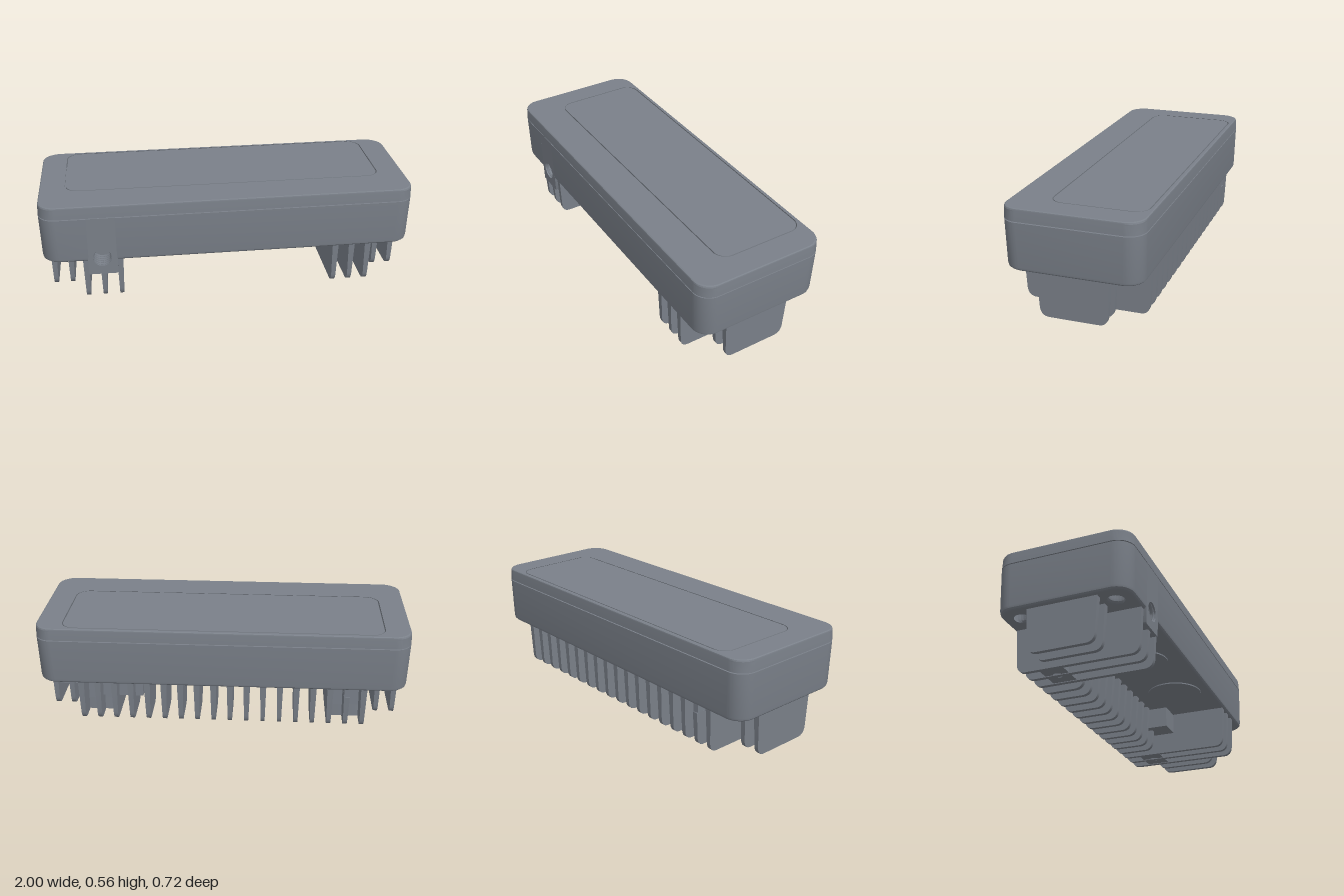
import * as THREE from 'three';
import { toCreasedNormals } from 'three/addons/utils/BufferGeometryUtils.js';

const material = new THREE.MeshStandardMaterial({ color: 0x7a8089 });

function add(parent, name, geometry, x = 0, y = 0, z = 0) {
  const mesh = new THREE.Mesh(geometry, material);
  mesh.name = name;
  mesh.position.set(x, y, z);
  parent.add(mesh);
  return mesh;
}

// Rounded rectangle; a notch [x0, x1, depth] may be cut into its lower edge.
function roundedRect(w, h, r, cx = 0, cy = 0, Type = THREE.Shape, notch) {
  const s = new Type();
  const x0 = cx - w / 2, x1 = cx + w / 2, y0 = cy - h / 2, y1 = cy + h / 2;
  s.moveTo(x0 + r, y0);
  if (notch) {
    s.lineTo(notch[0], y0);
    s.lineTo(notch[0], y0 + notch[2]);
    s.lineTo(notch[1], y0 + notch[2]);
    s.lineTo(notch[1], y0);
  }
  s.lineTo(x1 - r, y0);
  s.absarc(x1 - r, y0 + r, r, -Math.PI / 2, 0);
  s.lineTo(x1, y1 - r);
  s.absarc(x1 - r, y1 - r, r, 0, Math.PI / 2);
  s.lineTo(x0 + r, y1);
  s.absarc(x0 + r, y1 - r, r, Math.PI / 2, Math.PI);
  s.lineTo(x0, y0 + r);
  s.absarc(x0 + r, y0 + r, r, Math.PI, Math.PI * 1.5);
  return s;
}

function circleHole(x, y, r) {
  const p = new THREE.Path();
  p.absarc(x, y, r, 0, Math.PI * 2);
  return p;
}

// Stack a plan shape through [height, inset] levels; x insets apply to the ends only.
function loft(shape, levels) {
  const n = levels.length - 1;
  const g = new THREE.ExtrudeGeometry(shape, { depth: n, steps: n, bevelEnabled: false, curveSegments: 10 });
  const p = g.attributes.position;
  for (let i = 0; i < p.count; i++) {
    const x = p.getX(i), z = -p.getY(i);
    const [y, inset] = levels[Math.round(p.getZ(i))];
    const dx = Math.abs(x) > 0.78 ? Math.sign(x) * inset : 0;
    p.setXYZ(i, x - dx, y, z - Math.sign(z) * inset);
  }
  return toCreasedNormals(g, 0.3);
}

// Cooling fin in the y-z plane, thinner towards its rounded lower edge.
function finGeometry(zBack, zFront, top = 0.26) {
  const a = -zFront, b = -zBack, r = 0.05, slope = 0.01;
  const s = new THREE.Shape();
  s.moveTo(a, top);
  s.lineTo(a + slope, r);
  s.quadraticCurveTo(a + slope + 0.004, 0, a + slope + r, 0);
  s.lineTo(b - slope - r, 0);
  s.quadraticCurveTo(b - slope - 0.004, 0, b - slope, r);
  s.lineTo(b, top);
  const g = new THREE.ExtrudeGeometry(s, { depth: 1, bevelEnabled: false, curveSegments: 8 });
  g.rotateY(Math.PI / 2);
  const p = g.attributes.position;
  for (let i = 0; i < p.count; i++) {
    const width = 0.022 + 0.046 * p.getY(i);
    p.setX(i, (p.getX(i) - 0.5) * width);
  }
  return toCreasedNormals(g, 0.6);
}

export function createModel() {
  const model = new THREE.Group();
  model.name = 'finnedEnclosure';

  // Tapered housing with corner screw holes and a notch for the cable port
  const plan = roundedRect(2, 0.72, 0.09, 0, 0, THREE.Shape, [-0.753, -0.603, 0.15]);
  for (const x of [-0.905, 0.905]) for (const z of [-0.27, 0.27]) plan.holes.push(circleHole(x, z, 0.045));
  add(model, 'housing', loft(plan, [
    [0.24, 0.02], [0.243, 0.014], [0.25, 0.008], [0.262, 0.0055], [0.268, 0.005], [0.494, 0],
  ]));

  // Core leaves a thin seam between housing and lid
  add(model, 'seamCore', loft(roundedRect(1.97, 0.69, 0.08), [[0.488, 0], [0.505, 0]]));

  // Lid with an inset panel outlined by a narrow groove
  const lid = roundedRect(2, 0.72, 0.09);
  lid.holes.push(roundedRect(1.738, 0.518, 0.075, -0.002, 0.087, THREE.Path));
  add(model, 'lid', loft(lid, [[0.499, 0], [0.55, 0.002], [0.555, 0.002], [0.562, 0.004], [0.565, 0.009]]));
  add(model, 'topPanel', loft(roundedRect(1.708, 0.488, 0.065), [[0.5, 0], [0.565, 0]]), -0.002, 0, -0.087);

  // Cable port: block flush with the wall, with a threaded round opening
  const port = new THREE.Group();
  port.name = 'cablePort';
  port.position.set(-0.68, 0.26, 0.3548);
  port.rotation.x = 0.022;
  const face = roundedRect(0.156, 0.335, 0.008, 0.002, 0.068);
  face.holes.push(circleHole(0, 0, 0.05));
  const block = new THREE.ExtrudeGeometry(face, { depth: 0.15, bevelEnabled: false, curveSegments: 20 });
  add(port, 'portBlock', toCreasedNormals(block, 0.6), 0, 0, -0.15);
  for (let i = 0; i < 5; i++) {
    add(port, 'portThread', new THREE.TorusGeometry(0.05, 0.006, 6, 28), 0, 0, -0.014 - i * 0.02);
  }
  add(port, 'portFloor', new THREE.CircleGeometry(0.055, 28), 0, 0, -0.11);
  model.add(port);

  // Cooling fins: short at the ends, full width near the ends, rear only between
  const endFin = finGeometry(-0.188, 0.188);
  const fullFin = finGeometry(-0.34, 0.34);
  const rearFin = finGeometry(-0.34, -0.08);
  const portFin = finGeometry(-0.34, 0.34, 0.19);
  for (let i = 0; i < 11; i++) {
    const g = i > 8 ? endFin : i > 5 ? fullFin : rearFin;
    const x = 0.045 + i * 0.0903;
    add(model, 'coolingFin', g, x);
    add(model, 'coolingFin', i === 7 ? portFin : g, -x);
  }
  // Upper part of the fin behind the port, kept clear of its opening
  add(model, 'portFinRoot', new THREE.BoxGeometry(0.03, 0.08, 0.53), -0.677, 0.215, -0.07);

  // Screw bosses between the full-width fins
  for (const x of [-0.677, 0.677]) {
    const boss = roundedRect(0.18, 0.13, 0.01, x, 0.15);
    boss.holes.push(circleHole(x, 0.15, 0.026));
    add(model, 'screwBoss', loft(boss, [[0.004, 0], [0.08, 0]]));
    add(model, 'screwBossRoot', new THREE.BoxGeometry(0.18, 0.18, 0.13), x, 0.165, -0.15);
  }

  // Pair of lower blocks between the fins
  add(model, 'mountingBlock', new THREE.BoxGeometry(0.245, 0.13, 0.28), 0.5625, 0.185, -0.12);
  add(model, 'mountingBlock', new THREE.BoxGeometry(0.25, 0.13, 0.2), 0.83, 0.185, -0.04);

  // Shallow round pads on the underside
  for (const [x, z, r] of [[-0.21, 0.13, 0.13], [0.255, 0.14, 0.155]]) {
    add(model, 'undersidePad', new THREE.CylinderGeometry(r, r, 0.02, 40), x, 0.243, z);
  }

  return model;
}
